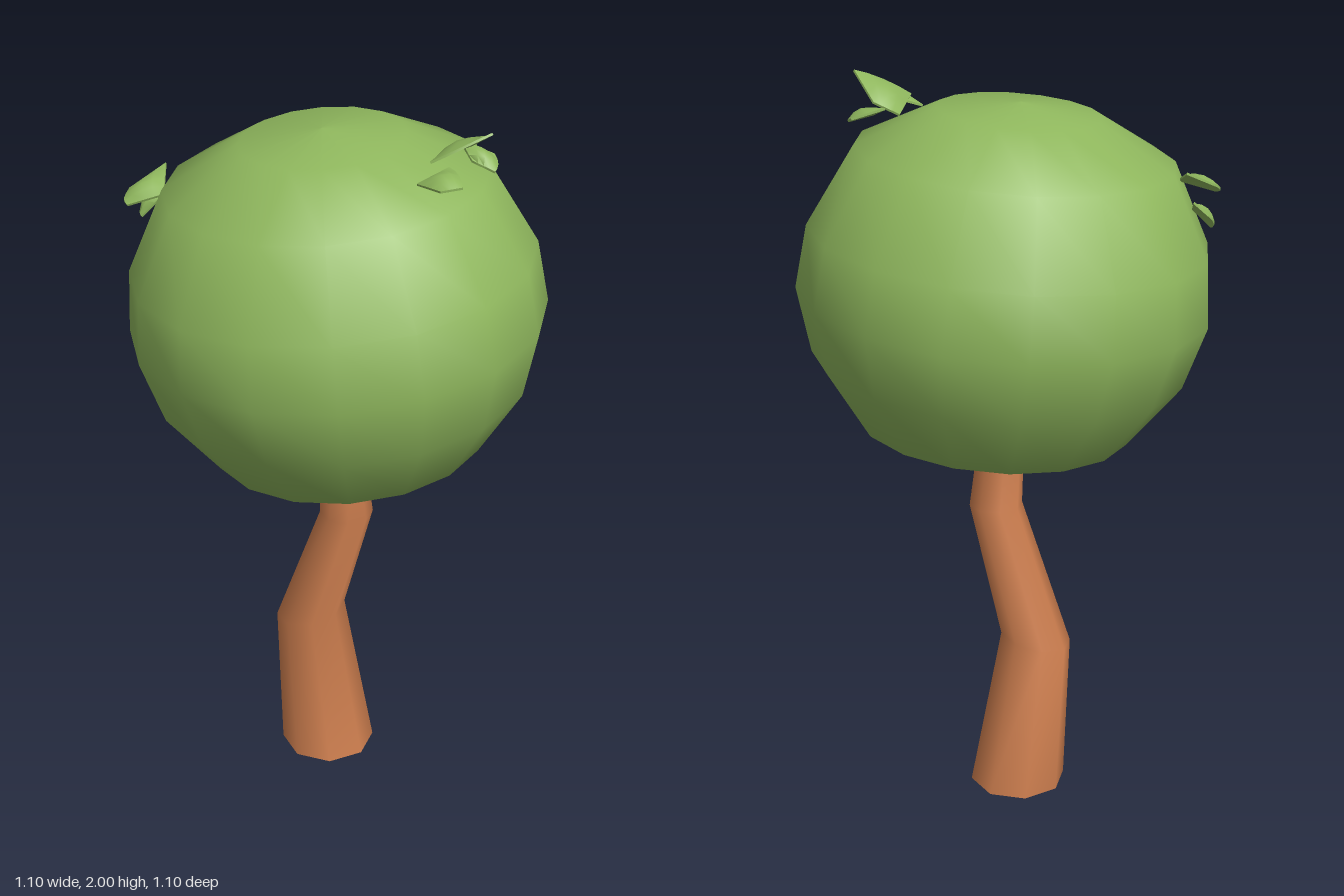
import * as THREE from 'three';
import { mergeVertices, toCreasedNormals } from 'three/addons/utils/BufferGeometryUtils.js';

const foliage = new THREE.MeshStandardMaterial({ color: 0x8fb75d });
foliage.name = 'leaf green';
const bark = new THREE.MeshStandardMaterial({ color: 0xd08050 });
bark.name = 'bark orange';

function addMesh(parent, name, geometry, material) {
  const mesh = new THREE.Mesh(geometry, material);
  mesh.name = name;
  parent.add(mesh);
  return mesh;
}

// Moves every vertex by a rule, then smooths all but the sharp edges
function reshape(geometry, rule, crease) {
  const pos = geometry.attributes.position;
  const v = new THREE.Vector3();
  for (let i = 0; i < pos.count; i++) {
    rule(v.fromBufferAttribute(pos, i));
    pos.setXYZ(i, v.x, v.y, v.z);
  }
  geometry.deleteAttribute('uv');
  geometry.deleteAttribute('normal');
  return toCreasedNormals(mergeVertices(geometry, 1e-5), crease);
}

// Crooked eight-sided trunk: centre x, y, z, radius and sideways tilt per ring
function trunkGeometry() {
  const rings = [
    [-0.022, 0, -0.075, 0.133, 0],
    [-0.07, 0.45, -0.088, 0.097, 0.2],
    [0.028, 0.825, 0, 0.073, 0],
    [0.008, 1.08, -0.003, 0.06, 0],
  ];
  return reshape(new THREE.CylinderGeometry(1, 1, 1, 8, 3), (v) => {
    const [x, y, z, r, tilt] = rings[Math.round((v.y + 0.5) * 3)];
    v.set(x + v.x * r, y + v.x * r * tilt, z + v.z * r);
  }, 1);
}

// Thick, slightly domed leaf stretched between four corners:
// base left, base right, tip right, tip left (counterclockwise from outside)
function leafGeometry(corners) {
  const [a, b, c, d] = corners.map((p) => new THREE.Vector3(...p));
  const normal = c.clone().sub(a).cross(d.clone().sub(b)).normalize();
  return reshape(new THREE.BoxGeometry(1, 1, 1, 4, 4, 1), (v) => {
    const across = v.x + 0.5, along = v.y + 0.5;
    const dome = (1 - 4 * v.x * v.x) * (1 - 4 * v.y * v.y);
    const lift = 0.012 * dome + v.z * (0.006 + 0.014 * dome);
    // the tip edge bows outward to a blunt point
    const reach = along * (1 + 0.12 * (1 - 4 * v.x * v.x));
    const low = a.clone().lerp(b, across), high = d.clone().lerp(c, across);
    v.copy(low).lerp(high, reach).addScaledVector(normal, lift);
  }, 0.8);
}

export function createModel() {
  const tree = new THREE.Group();
  tree.name = 'tree';

  addMesh(tree, 'trunk', trunkGeometry(), bark);

  // Rounded crown with a flattened underside, leaning a little
  const profile = [
    [0, -0.405], [0.2, -0.397], [0.37, -0.357], [0.5, -0.175], [0.55, 0],
    [0.53, 0.17], [0.42, 0.385], [0.215, 0.495], [0, 0.52],
  ].map(([r, y]) => new THREE.Vector2(r, y));
  const crown = addMesh(tree, 'crown', new THREE.LatheGeometry(profile, 16, -0.045), foliage);
  crown.position.set(0.005, 1.425, 0);
  crown.rotation.z = 0.08;

  // Sprigs of leaves sticking out of the crown
  const sprigs = {
    topSprig: [
      [[0.33, 1.93, 0.1], [0.265, 1.9, 0.08], [0.22, 1.925, 0.2], [0.37, 1.995, 0.195]],
      [[0.33, 1.895, 0.12], [0.305, 1.925, 0.05], [0.39, 1.895, 0.075], [0.385, 1.875, 0.145]],
      [[0.185, 1.885, 0.24], [0.235, 1.895, 0.315], [0.29, 1.9, 0.305], [0.265, 1.915, 0.21]],
    ],
    sideSprig: [
      [[-0.435, 1.785, -0.18], [-0.44, 1.74, -0.075], [-0.535, 1.71, -0.08], [-0.53, 1.735, -0.135]],
      [[-0.445, 1.72, -0.22], [-0.455, 1.69, -0.17], [-0.505, 1.64, -0.17], [-0.5, 1.67, -0.205]],
    ],
  };
  for (const [name, leaves] of Object.entries(sprigs)) {
    const sprig = new THREE.Group();
    sprig.name = name;
    tree.add(sprig);
    leaves.forEach((corners, i) => {
      // keep the domed side facing upward
      const [a, b, c, d] = corners;
      const up = (c[2] - a[2]) * (d[0] - b[0]) - (c[0] - a[0]) * (d[2] - b[2]);
      addMesh(sprig, `leaf${i + 1}`, leafGeometry(up > 0 ? corners : [b, a, d, c]), foliage);
    });
  }
  return tree;
}
